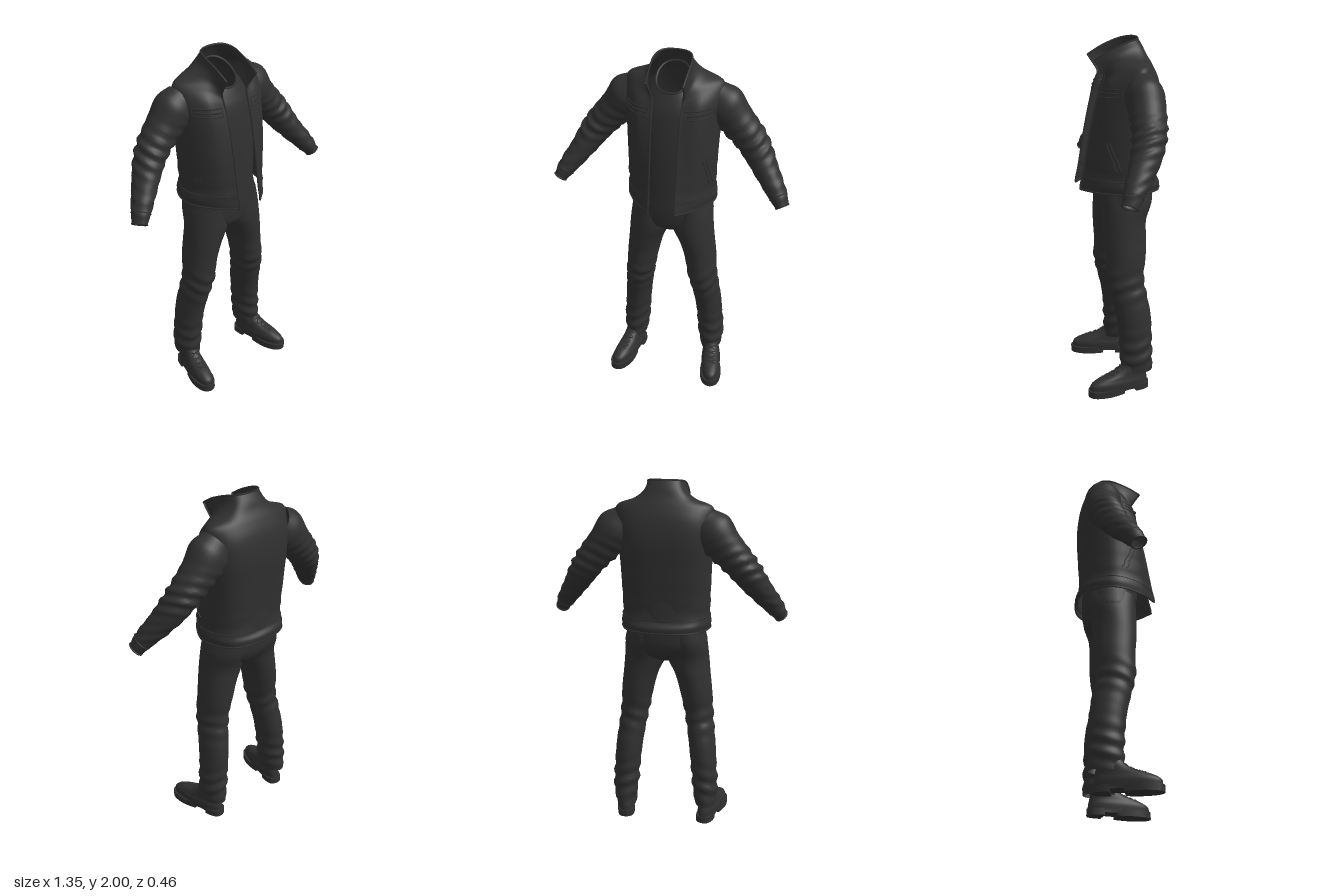
import * as THREE from 'three';

const cloth = new THREE.MeshStandardMaterial({ color: 0x303030, side: THREE.DoubleSide });
cloth.name = 'charcoal cloth';
const V = (x, y, z) => new THREE.Vector3(x, y, z);

function named(geometry, name) {
  const mesh = new THREE.Mesh(geometry, cloth);
  mesh.name = name;
  return mesh;
}

// Smooth skin through rings of points, listed bottom-up; fold(p) pushes along the normal
function loft(name, rings, { closed = true, steps = 8, fold = null, cap = false } = {}) {
  const cols = rings[0].length, rows = (rings.length - 1) * steps + 1;
  const pos = [], idx = [];
  const curves = rings[0].map((_, j) => new THREE.CatmullRomCurve3(rings.map(r => r[j])));
  for (let i = 0; i < rows; i++)
    for (const c of curves) pos.push(...c.getPoint(i / (rows - 1)).toArray());
  const span = closed ? cols : cols - 1;
  for (let i = 0; i < rows - 1; i++)
    for (let j = 0; j < span; j++) {
      const a = i * cols + j, b = i * cols + (j + 1) % cols;
      idx.push(a, b, b + cols, a, b + cols, a + cols);
    }
  if (cap) {
    const top = rings[rings.length - 1];
    const mid = top.reduce((s, p) => s.add(p), V(0, 0, 0)).divideScalar(cols);
    pos.push(...mid.toArray());
    const base = (rows - 1) * cols;
    for (let j = 0; j < cols; j++) idx.push(base + j, base + (j + 1) % cols, rows * cols);
  }
  const g = new THREE.BufferGeometry();
  g.setAttribute('position', new THREE.Float32BufferAttribute(pos, 3));
  g.setIndex(idx);
  g.computeVertexNormals();
  if (fold) {
    const P = g.attributes.position, N = g.attributes.normal;
    const p = V(0, 0, 0), n = V(0, 0, 0);
    for (let i = 0; i < P.count; i++) {
      p.fromBufferAttribute(P, i);
      n.fromBufferAttribute(N, i);
      p.addScaledVector(n, fold(p));
      P.setXYZ(i, p.x, p.y, p.z);
    }
    g.computeVertexNormals();
  }
  return named(g, name);
}

// Rounded ring in the plane of u and v (defaults to a level ring)
function ring(c, ru, rv, u = V(1, 0, 0), v = V(0, 0, 1), power = 2.2, n = 32) {
  const f = t => Math.sign(t) * Math.pow(Math.abs(t), 2 / power);
  return Array.from({ length: n }, (_, k) => {
    const a = k / n * Math.PI * 2;
    return c.clone().addScaledVector(u, f(Math.sin(a)) * ru).addScaledVector(v, f(Math.cos(a)) * rv);
  });
}

function cord(name, points, radius, closed = false) {
  const curve = new THREE.CatmullRomCurve3(points, closed);
  return named(new THREE.TubeGeometry(curve, points.length * 3, radius, 5, closed), name);
}

// Drops points onto a mesh along a direction
function project(mesh, points, dir) {
  const ray = new THREE.Raycaster();
  return points.flatMap(p => {
    ray.set(p.clone().addScaledVector(dir, -2), dir);
    const hit = ray.intersectObject(mesh)[0];
    return hit ? [hit.point] : [];
  });
}

const line = (a, b, n = 8) => Array.from({ length: n }, (_, i) => a.clone().lerp(b, i / (n - 1)));
const bump = (v, at, width) => Math.exp(-(((v - at) / width) ** 2));

function mirrored(object) {
  const other = object.clone();
  other.scale.x = -1;
  return other;
}

function buildJacket() {
  const g = new THREE.Group();
  g.name = 'jacket';
  // Half outline of each level: front edge, front, side, back quarter, back middle
  const level = (y, e, f, s, q, b) => [V(e[0], y, e[1]), V(f[0], y, f[1]), V(s[0], y, s[1]), V(q[0], y, q[1]), V(0, y, b)];
  const halves = [
    level(1.18, [.075, .225], [.17, .14], [.25, -.02], [.18, -.185], -.228),
    level(1.21, [.075, .222], [.172, .142], [.254, -.02], [.184, -.187], -.23),
    level(1.25, [.075, .212], [.172, .135], [.248, -.02], [.18, -.172], -.208),
    level(1.5, [.077, .168], [.18, .125], [.254, -.03], [.19, -.182], -.217),
    level(1.68, [.08, .128], [.18, .105], [.265, -.05], [.2, -.19], -.226),
    [V(.082, 1.76, .1), V(.18, 1.78, .075), V(.275, 1.79, -.07), V(.2, 1.79, -.178), V(0, 1.8, -.208)],
    [V(.085, 1.8, .088), V(.165, 1.845, .035), V(.262, 1.86, -.085), V(.18, 1.86, -.155), V(0, 1.87, -.18)],
    [V(.09, 1.82, .092), V(.125, 1.88, .035), V(.165, 1.9, -.075), V(.12, 1.91, -.135), V(0, 1.92, -.152)],
    [V(.096, 1.85, .11), V(.112, 1.91, .045), V(.116, 1.94, -.055), V(.09, 1.955, -.115), V(0, 1.96, -.135)],
    [V(.1, 1.9, .143), V(.104, 1.945, .065), V(.102, 1.985, -.035), V(.075, 1.997, -.092), V(0, 2, -.112)],
  ];
  const rings = halves.map(h => {
    const full = [...h, ...h.slice(0, 4).reverse().map(p => V(-p.x, p.y, p.z))];
    return new THREE.CatmullRomCurve3(full).getPoints(48);
  });
  const fold = p => .003 * Math.sin(70 * p.y + 14 * Math.abs(p.x)) * bump(p.y, 1.3, .1);
  const body = loft('jacketBody', rings, { closed: false, fold });
  g.add(body);

  // Zip along both front edges and the collar rim, stitch above the hem
  for (const j of [0, 48]) g.add(cord('frontZip', rings.map(r => r[j]), .006));
  g.add(cord('collarRim', rings[rings.length - 1], .005));
  g.add(cord('hemRim', rings[0], .005));
  g.add(cord('hemSeam', rings[2], .004));

  // Zipped chest pockets and slanted side pockets
  const back = V(0, 0, -1), pockets = new THREE.Group();
  pockets.name = 'pockets';
  const box = [V(.1, 1.745, 0), V(.24, 1.755, 0), V(.24, 1.715, 0), V(.1, 1.7, 0)];
  box.forEach((p, i) => pockets.add(cord('pocketWelt', project(body, line(p, box[(i + 1) % 4]), back), .004)));
  pockets.add(cord('pocketZip', project(body, line(V(.11, 1.723, 0), V(.23, 1.735, 0)), back), .005));
  for (const d of [0, .012])
    pockets.add(cord('sidePocketZip', project(body, line(V(.2 + d, 1.47, 0), V(.228 + d, 1.31, 0)), back), .004));
  g.add(pockets, mirrored(pockets));

  // Sleeve from wrist to shoulder: centre, then the two radii
  const path = [
    [.637, 1.24, .072, .036, .045], [.61, 1.285, .05, .05, .055], [.53, 1.395, -.015, .067, .074],
    [.475, 1.475, -.055, .08, .086], [.42, 1.55, -.08, .088, .093], [.33, 1.65, -.092, .1, .1],
    [.265, 1.725, -.09, .118, .105], [.21, 1.765, -.088, .1, .085],
  ];
  const centres = path.map(p => V(p[0], p[1], p[2]));
  const sleeveRings = path.map((p, i) => {
    const t = centres[Math.min(i + 1, 7)].clone().sub(centres[Math.max(i - 1, 0)]).normalize();
    const u = V(0, 0, 1).cross(t).negate().normalize();
    return ring(centres[i], p[3], p[4], u, u.clone().cross(t), 2);
  });
  const sleeve = new THREE.Group();
  sleeve.name = 'sleeve';
  sleeve.add(loft('sleeveBody', sleeveRings, {
    fold: p => .007 * Math.sin(95 * p.y - 45 * p.x + 25 * p.z) * bump(p.y, 1.56, .09)
      + .003 * Math.sin(120 * p.y + 30 * p.z) * bump(p.y, 1.35, .06),
  }));
  sleeve.add(cord('cuffRim', sleeveRings[0], .005, true), cord('cuffSeam', sleeveRings[1], .003, true));
  g.add(sleeve, mirrored(sleeve));
  return g;
}

function buildShirt() {
  const rows = [[1.19, .2, -.04, .172], [1.4, .2, -.04, .168], [1.6, .2, -.045, .158], [1.72, .19, -.055, .148]];
  const rings = rows.map(([y, rx, cz, rz]) => ring(V(0, y, cz), rx, rz));
  // Tilted neckline, low at the front
  const tilt = V(0, -.5, 1).normalize();
  rings.push(ring(V(0, 1.83, -.04), .13, .125, V(1, 0, 0), tilt));
  rings.push(ring(V(0, 1.875, -.035), .09, .105, V(1, 0, 0), V(0, -.68, 1).normalize()));
  const g = new THREE.Group();
  g.name = 'shirt';
  g.add(loft('shirtBody', rings), cord('neckband', rings[5], .006, true));
  return g;
}

function buildTrousers() {
  const g = new THREE.Group();
  g.name = 'trousers';
  const hips = [[.985, .07, -.01, .08], [1.02, .19, -.018, .125], [1.08, .234, -.03, .149],
    [1.15, .225, -.033, .156], [1.22, .21, -.035, .155]];
  g.add(loft('seat', hips.map(([y, rx, cz, rz]) => ring(V(0, y, cz), rx, rz)), { cap: true }));
  const leg = [
    [.115, .24, .06, -.065, .093], [.2, .238, .072, -.062, .093], [.3, .231, .074, -.06, .094],
    [.45, .218, .077, -.05, .1], [.6, .198, .08, -.02, .105], [.68, .186, .084, -.007, .108],
    [.8, .17, .093, -.014, .115], [.9, .15, .102, -.012, .122], [1, .122, .121, -.012, .128],
    [1.1, .118, .114, -.03, .142], [1.18, .11, .1, -.033, .145],
  ];
  const rings = leg.map(([y, cx, rx, cz, rz]) => ring(V(cx, y, cz), rx, rz, undefined, undefined, 2));
  const fold = p => .006 * Math.sin(75 * p.y + 22 * p.x + 16 * p.z) * bump(p.y, .25, .11)
    + .005 * Math.sin(70 * p.y - 25 * p.x + 20 * p.z) * bump(p.y, .63, .09);
  const side = loft('leg', rings, { fold });
  g.add(side, mirrored(side));
  return g;
}

function buildBoot() {
  const g = new THREE.Group();
  g.name = 'boot';
  const rows = [[.03, .047, .056, .178], [.065, .046, .057, .174], [.092, .028, .05, .15],
    [.122, -.018, .046, .102], [.16, -.045, .045, .073], [.21, -.05, .045, .068]];
  const upper = loft('bootUpper', rows.map(([y, cz, rx, rz]) =>
    ring(V(0, y, cz), rx, rz, undefined, undefined, 2.3)), { cap: true });
  g.add(upper);

  // Sole slabs cut from one foot outline
  const half = new THREE.SplineCurve([[0, -.138], [.036, -.122], [.05, -.07], [.047, 0], [.06, .08],
    [.062, .14], [.047, .2], [.024, .227], [0, .235]].map(p => new THREE.Vector2(...p))).getPoints(40);
  const slab = (name, z0, z1, y0, y1) => {
    const pts = half.filter(p => p.y >= z0 && p.y <= z1);
    const outline = [...pts, ...pts.slice().reverse().map(p => new THREE.Vector2(-p.x, p.y))];
    const geo = new THREE.ExtrudeGeometry(new THREE.Shape(outline), { depth: y1 - y0, bevelEnabled: false });
    geo.rotateX(Math.PI / 2).translate(0, y1, 0);
    g.add(named(geo, name));
  };
  slab('sole', -1, 1, .016, .038);
  slab('heel', -1, -.035, 0, .017);
  slab('tread', .03, 1, 0, .017);

  // Laces across the instep
  for (const z of [.04, .07, .1, .13])
    for (const s of [-1, 1])
      g.add(cord('lace', project(upper, line(V(-.028 * s, 0, z - .012), V(.028 * s, 0, z + .012), 7), V(0, -1, 0)), .004));

  g.position.x = .255;
  g.rotation.y = .2;
  return g;
}

export function createModel() {
  const model = new THREE.Group();
  model.name = 'outfit';
  const boots = new THREE.Group();
  boots.name = 'boots';
  boots.add(buildBoot());
  model.add(buildJacket(), buildShirt(), buildTrousers(), boots, mirrored(boots));
  return model;
}
